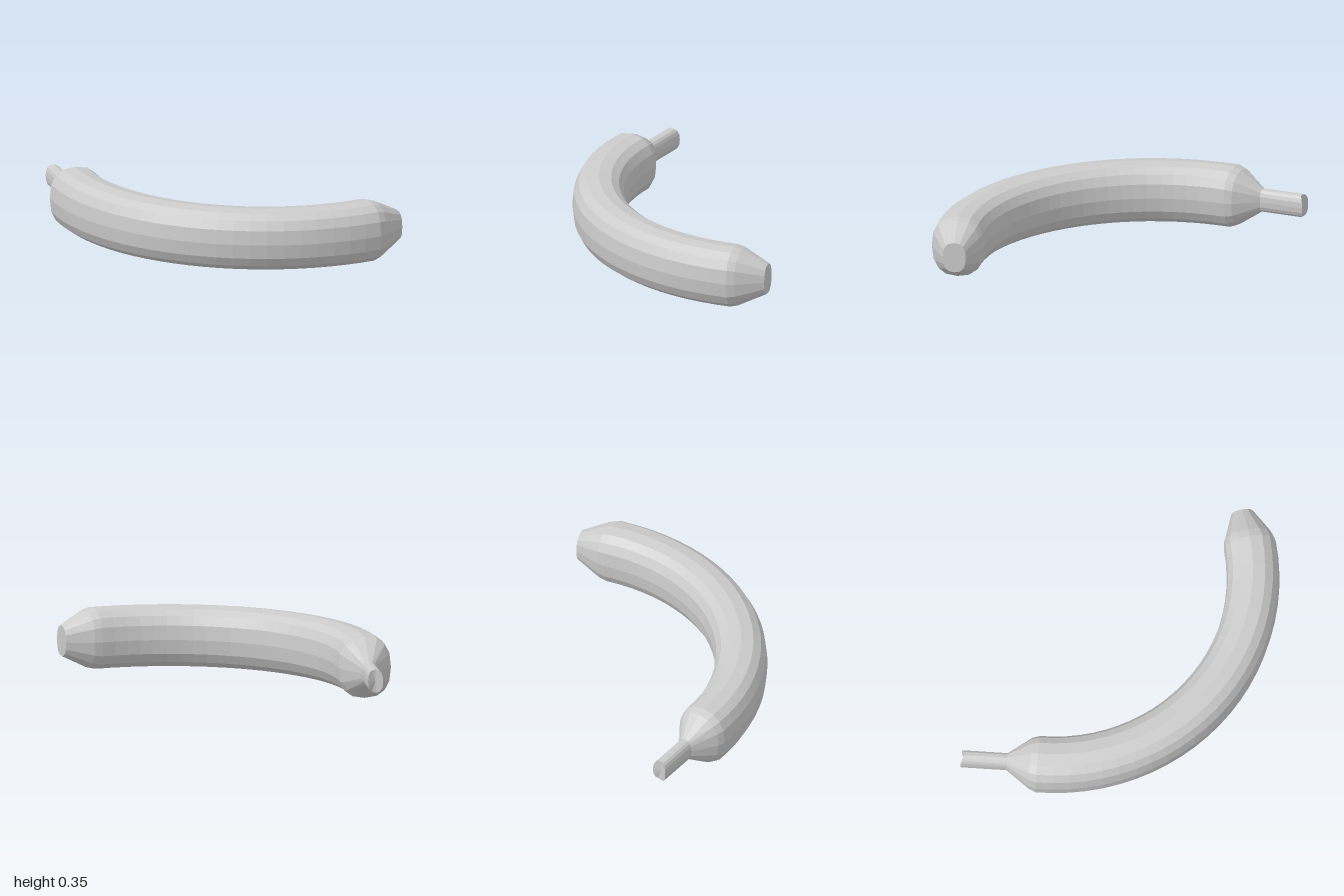
import * as THREE from 'three';

const SIDES = 16;
const MID_Y = 0.176;

// Signed power that makes the oval cross-section a little boxier
const soft = (c) => Math.sign(c) * Math.pow(Math.abs(c), 0.8);

// Ring of points around (x, z); phi is the heading, a and b the half width and half height
function ring({ x, z, phi, a, b, notch = 0 }) {
  const place = (u, v) => {
    // a notch sinks the ring along a vertical crease just off centre
    const crease = -0.28 * a;
    const reach = u < crease ? a + crease : a - crease;
    const sink = notch * (1 - Math.abs(u - crease) / reach);
    return new THREE.Vector3(
      x - Math.sin(phi) * u + Math.cos(phi) * sink,
      MID_Y + v,
      z + Math.cos(phi) * u + Math.sin(phi) * sink
    );
  };
  const points = [];
  for (let j = 0; j < SIDES; j++) {
    const t = (j / SIDES) * Math.PI * 2;
    points.push(place(soft(Math.cos(t)) * a, soft(Math.sin(t)) * b));
  }
  return { points, centre: place(0, 0) };
}

// Faceted skin through the sections, closed where asked
function loft(name, sections, material, capStart, capEnd) {
  const rings = sections.map(ring);
  const pos = [];
  const tri = (...p) => p.forEach((v) => pos.push(v.x, v.y, v.z));
  const last = rings.length - 1;
  for (let j = 0; j < SIDES; j++) {
    const k = (j + 1) % SIDES;
    for (let i = 0; i < last; i++) {
      const p = rings[i].points;
      const q = rings[i + 1].points;
      tri(p[j], p[k], q[k]);
      tri(p[j], q[k], q[j]);
    }
    if (capStart) tri(rings[0].centre, rings[0].points[k], rings[0].points[j]);
    if (capEnd) tri(rings[last].centre, rings[last].points[j], rings[last].points[k]);
  }
  const geometry = new THREE.BufferGeometry();
  geometry.setAttribute('position', new THREE.Float32BufferAttribute(pos, 3));
  geometry.computeVertexNormals();
  const mesh = new THREE.Mesh(geometry, material);
  mesh.name = name;
  return mesh;
}

export function createModel() {
  const group = new THREE.Group();
  group.name = 'banana';
  const material = new THREE.MeshStandardMaterial({ color: 0xcccccc, flatShading: true });

  // Long curved body along a circular arc
  const END = 1.837;
  const STEPS = 24;
  const arc = [];
  for (let i = 0; i <= STEPS; i++) {
    const phi = (END * i) / STEPS;
    arc.push({
      x: 0.53 - 1.12 * Math.sin(phi),
      z: -0.27 + 1.12 * Math.cos(phi),
      phi, a: 0.15, b: 0.176
    });
  }
  const bodyEnd = arc[STEPS];
  group.add(loft('body', arc, material, false, false));

  // Blunt blossom tip
  group.add(loft('tip', [
    { x: 0.727, z: 0.84, phi: 0, a: 0.066, b: 0.088 },
    { x: 0.575, z: 0.847, phi: 0, a: 0.139, b: 0.164 },
    arc[0]
  ], material, true, false));

  // Shoulder narrowing to the neck
  const neck = { x: -0.505, z: -0.735, phi: END, a: 0.043, b: 0.067 };
  group.add(loft('shoulder', [
    bodyEnd,
    { x: -0.538, z: -0.605, phi: END, a: 0.136, b: 0.16 },
    neck
  ], material, false, false));

  // Thin stem with a creased end
  group.add(loft('stem', [
    neck,
    { ...neck, x: -0.442, z: -0.987, notch: 0.022 }
  ], material, false, true));

  return group;
}
